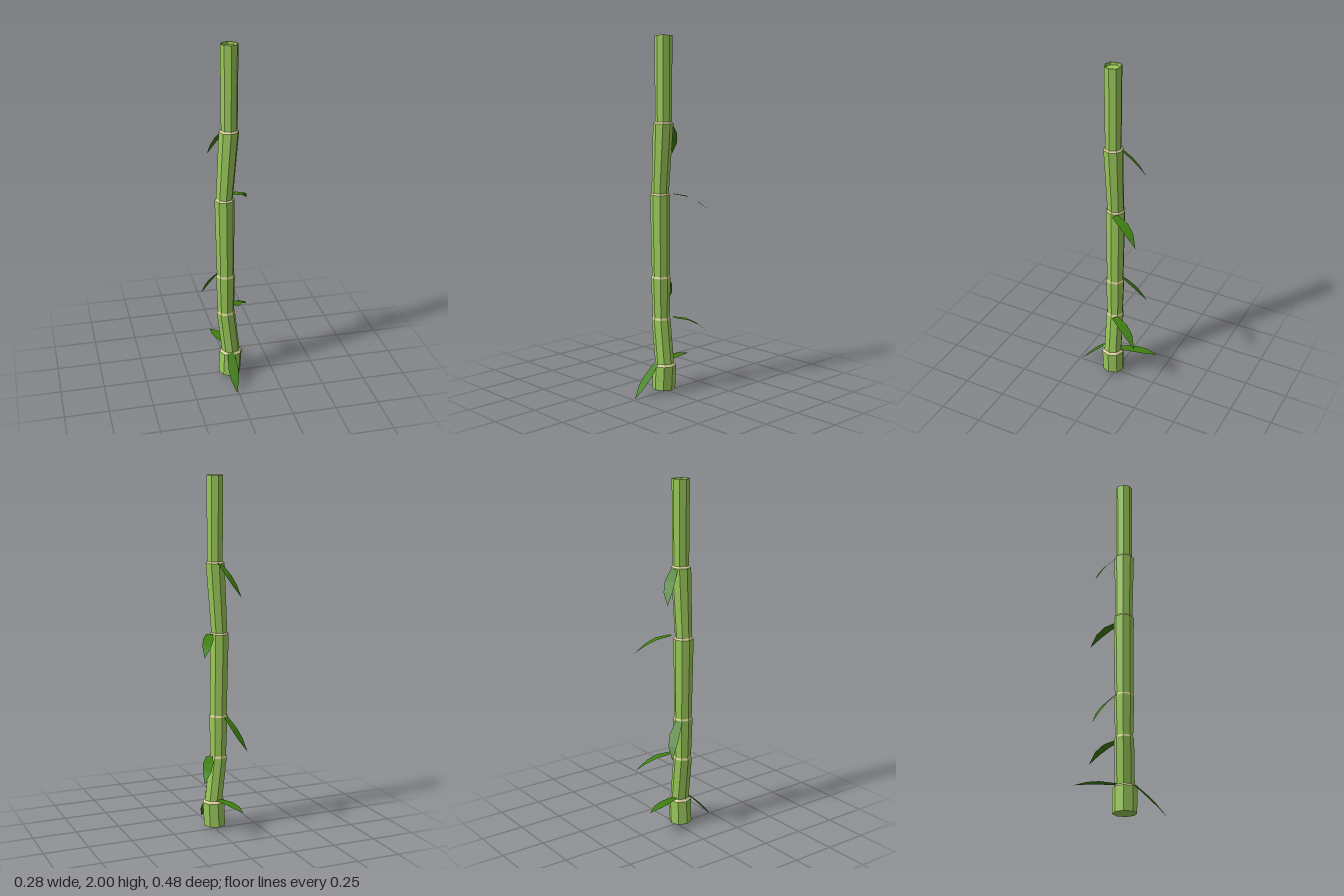
import * as THREE from 'three';

const Z = 0.02; // stem axis offset

export function createModel() {
  const group = new THREE.Group();
  const mat = (color, side = THREE.FrontSide) =>
    new THREE.MeshStandardMaterial({ color, side, flatShading: true });
  const stemMat = mat(0x9bca5a);
  const nodeMat = mat(0xd2c995);
  const leafMat = mat(0x3f8010, THREE.DoubleSide);

  const add = (name, geometry, material) => {
    const mesh = new THREE.Mesh(geometry, material);
    mesh.name = name;
    group.add(mesh);
    return mesh;
  };

  // eight-sided section, sheared so its ends sit at x0 and x1
  const section = (y0, x0, r0, y1, x1, r1, open = true) => {
    const g = new THREE.CylinderGeometry(r1, r0, y1 - y0, 8, 1, open);
    const p = g.attributes.position;
    for (let i = 0; i < p.count; i++) {
      p.setX(i, p.getX(i) + (p.getY(i) > 0 ? x1 : x0));
    }
    g.translate(0, (y0 + y1) / 2, Z);
    g.computeVertexNormals();
    return g;
  };

  // stem segments: bottom y, x, radius, then top y, x, radius
  const segments = [
    [0.02, -0.007, 0.065, 0.158, 0, 0.066],
    [0.17, 0, 0.053, 0.42, -0.028, 0.053],
    [0.431, -0.028, 0.048, 0.658, -0.03, 0.055],
    [0.668, -0.03, 0.05, 1.127, -0.035, 0.056],
    [1.137, -0.035, 0.048, 1.523, -0.01, 0.056],
    [1.533, -0.008, 0.046, 2, -0.008, 0.049],
  ];
  segments.forEach((s, i) => {
    add('stemSegment', section(...s, i > 0), stemMat);
    const next = segments[i + 1];
    // pale bevelled ring stepping in to the next segment
    if (next) add('nodeRing', section(s[3], s[4], s[5], next[0], next[1], next[2]), nodeMat);
  });

  // cut top: narrow rim around a recessed disc
  const rim = [[0.049, 2], [0.043, 2], [0.042, 1.985], [0, 1.985]];
  const top = add('stemTop',
    new THREE.LatheGeometry(rim.map(([r, y]) => new THREE.Vector2(r, y)), 8), stemMat);
  top.position.set(-0.008, 0, Z);

  // drooping pointed leaf: four stations [x, y, z] from base to tip
  const halfWidths = [0.019, 0.029, 0.024, 0];
  const leaf = (name, path) => {
    const g = new THREE.PlaneGeometry(1, 1, 1, 3);
    const p = g.attributes.position;
    const [a, b] = [path[0], path[3]];
    const across = new THREE.Vector3(a[2] - b[2], 0, b[0] - a[0]).normalize();
    for (let i = 0; i < p.count; i++) {
      const row = i >> 1;
      const v = new THREE.Vector3(...path[row])
        .addScaledVector(across, (i % 2 ? 1 : -1) * halfWidths[row]);
      p.setXYZ(i, v.x, v.y, v.z);
    }
    g.computeVertexNormals();
    add(name, g, leafMat);
  };

  leaf('frontLeaf', [[-0.011, 0.17, 0.075], [-0.011, 0.105, 0.143], [-0.011, 0.06, 0.186], [-0.011, 0, 0.236]]);
  leaf('backLeaf', [[-0.012, 0.177, -0.025], [-0.04, 0.179, -0.115], [-0.054, 0.174, -0.175], [-0.07, 0.16, -0.24]]);
  // matching pairs, repeated higher up the stem
  for (const y of [0.43, 1.13]) {
    leaf('leftLeaf', [[0.038, y + 0.006, -0.012], [0.075, y - 0.011, -0.084], [0.104, y - 0.041, -0.136], [0.14, y - 0.094, -0.19]]);
  }
  for (const [y, x] of [[0.66, -0.04], [1.527, 0]]) {
    leaf('rightLeaf', [[x - 0.016, y, -0.025], [x - 0.046, y - 0.063, -0.08], [x - 0.07, y - 0.117, -0.112], [x - 0.1, y - 0.183, -0.136]]);
  }

  return group;
}
